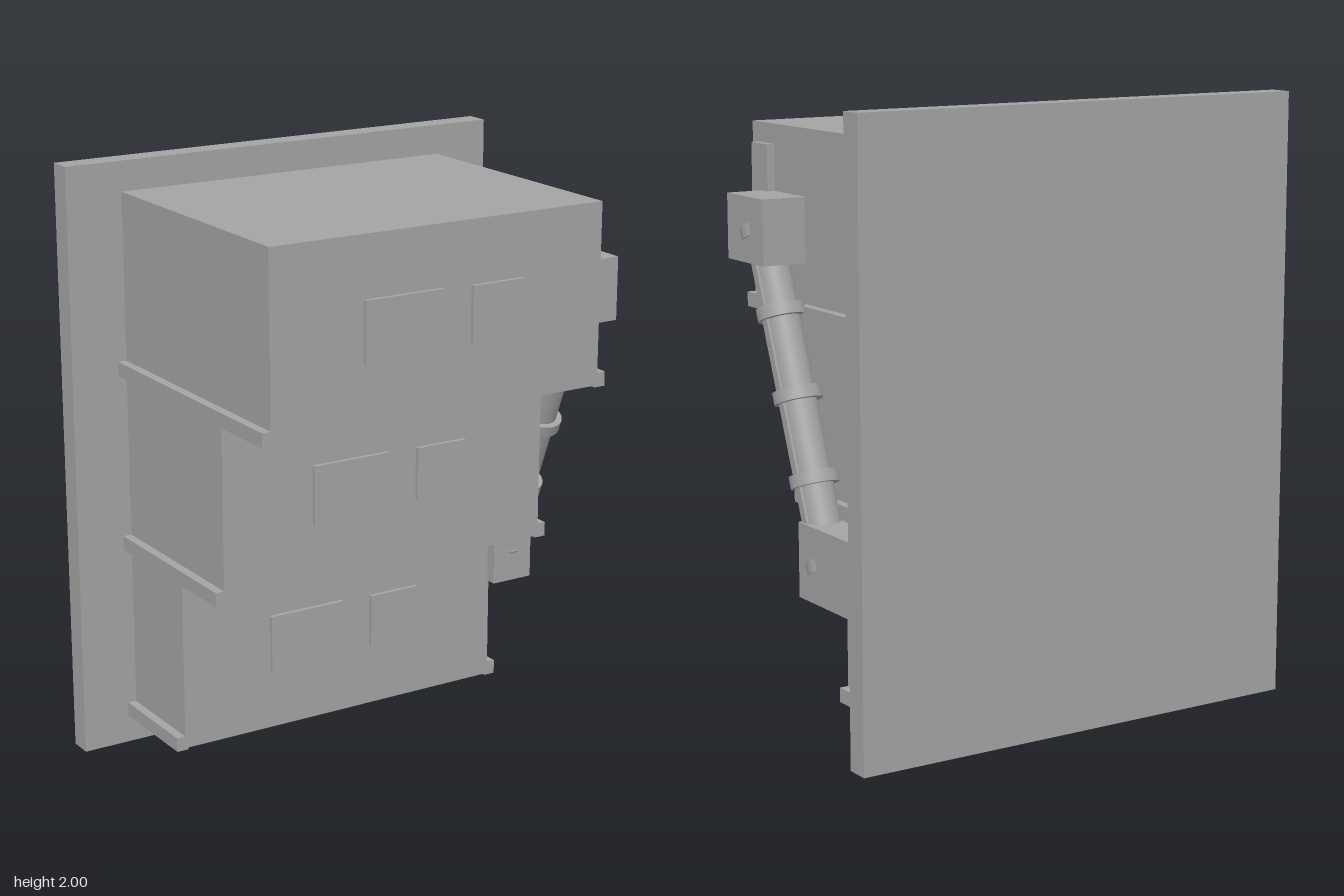
import * as THREE from 'three';

const grey = new THREE.MeshStandardMaterial({ color: 0xa3a3a3 });
grey.name = 'grey';

export function createModel() {
  const model = new THREE.Group();
  model.name = 'steppedCabinet';

  // Box given by its lower and upper limits on each axis
  function box(name, [x0, x1], [y0, y1], [z0, z1], parent = model) {
    const mesh = new THREE.Mesh(new THREE.BoxGeometry(x1 - x0, y1 - y0, z1 - z0), grey);
    mesh.position.set((x0 + x1) / 2, (y0 + y1) / 2, (z0 + z1) / 2);
    mesh.name = name;
    parent.add(mesh);
    return mesh;
  }

  box('backPanel', [-0.8, 0.8], [0, 2], [-0.51, -0.43]);

  // Three stacked tiers, each deeper than the one below
  const back = -0.43;
  [-0.08, 0.2, 0.5].forEach((front, i) => {
    const y = 0.1 + 0.6 * i;
    const tier = new THREE.Group();
    tier.name = ['lowerTier', 'middleTier', 'upperTier'][i];
    box('body', [-0.605, 0.605], [y, y + 0.6], [back, front], tier);
    box('wideWindow', [-0.28, 0], [y + 0.2, y + 0.4], [front, front + 0.015], tier);
    box('narrowWindow', [0.11, 0.297], [y + 0.215, y + 0.395], [front, front + 0.015], tier);
    for (const s of [-1, 1]) {
      box('sideRail', [s * 0.615 - 0.02, s * 0.615 + 0.02], [y - 0.006, y + 0.042], [back, front], tier);
    }
    model.add(tier);
  });

  box('bottomPlate', [-0.16, 0.155], [0.085, 0.1], [-0.41, -0.16]);
  box('sidePlate', [0.605, 0.632], [1.57, 1.835], [0.355, 0.46]);

  // Sloping pipe between two mounting blocks
  box('upperMount', [0.6, 0.755], [1.473, 1.684], [0.16, 0.398]);
  box('lowerMount', [0.6, 0.755], [0.45, 0.693], [-0.405, -0.042]);

  const top = new THREE.Vector3(0.684, 1.572, 0.28);
  const bottom = new THREE.Vector3(0.684, 0.565, -0.118);
  const axis = top.clone().sub(bottom);
  const length = axis.length();
  const pipe = new THREE.Group();
  pipe.name = 'slopingPipe';
  pipe.position.copy(top).add(bottom).multiplyScalar(0.5);
  pipe.rotation.x = Math.atan2(axis.z, axis.y);
  model.add(pipe);

  const tube = new THREE.Mesh(new THREE.CylinderGeometry(0.058, 0.058, length, 32), grey);
  tube.name = 'tube';
  pipe.add(tube);
  box('tubeStrip', [0.05, 0.064], [-length / 2, length / 2], [-0.015, 0.015], pipe);

  // Collars evenly spaced along the pipe
  for (let i = 0; i < 5; i++) {
    const collar = new THREE.Mesh(new THREE.CylinderGeometry(0.078, 0.078, 0.04, 32), grey);
    collar.position.y = (i / 4 - 0.5) * length;
    collar.name = 'collar';
    pipe.add(collar);
  }
  return model;
}
